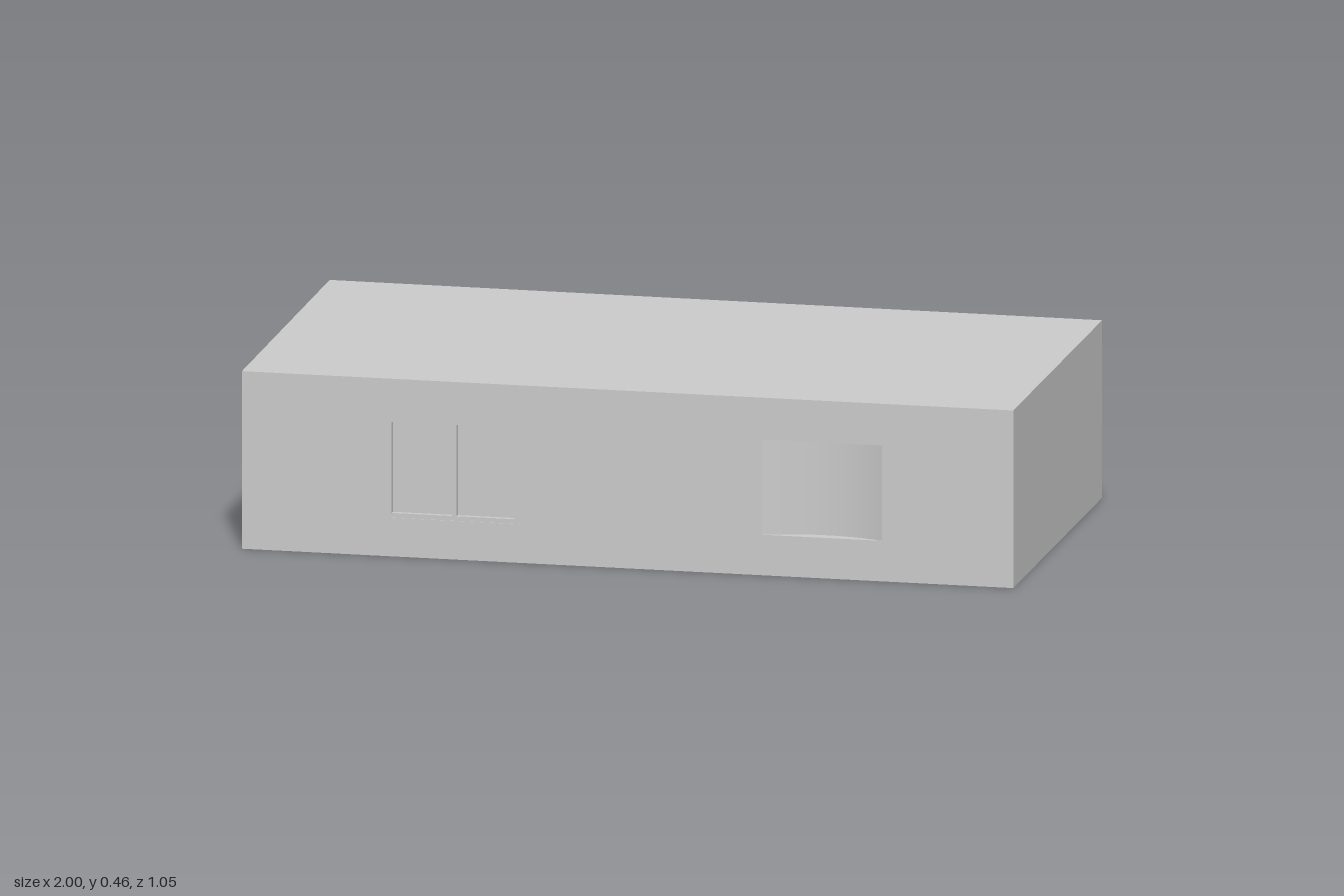
import * as THREE from 'three';

const H = 0.46, T = 0.012;
const mat = new THREE.MeshStandardMaterial({ color: 0xcccccc, side: THREE.DoubleSide });

// slightly skewed floor plan, [x, z]
const backRight = [-1, -0.525], backLeft = [1, -0.51];
const frontLeft = [1, 0.52], frontRight = [-0.995, 0.515];

function add(parent, name, geometry) {
  const mesh = new THREE.Mesh(geometry, mat);
  mesh.name = name;
  parent.add(mesh);
  return mesh;
}

function rect(x0, y0, x1, y1, Type = THREE.Shape) {
  return new Type([[x0, y0], [x1, y0], [x1, y1], [x0, y1]].map(p => new THREE.Vector2(...p)));
}

// panel with rectangular openings; its outer face lies at local z = 0
function panel(outline, openings, depth) {
  const shape = rect(...outline);
  for (const o of openings) shape.holes.push(rect(...o, THREE.Path));
  return new THREE.ExtrudeGeometry(shape, { depth, bevelEnabled: false }).translate(0, 0, -depth);
}

// wall running from a to b, with its outer side on the right of that direction
function wall(parent, name, a, b, openings = []) {
  const dx = b[0] - a[0], dz = b[1] - a[1];
  const mesh = add(parent, name, panel([0, 0, Math.hypot(dx, dz), H], openings, T));
  mesh.position.set(a[0], 0, a[1]);
  mesh.rotation.y = -Math.atan2(dz, dx);
  return mesh;
}

// horizontal slab following the floor plan
function slab(parent, name, y, depth) {
  const shape = new THREE.Shape([frontRight, frontLeft, backLeft, backRight].map(([x, z]) => new THREE.Vector2(x, -z)));
  const g = new THREE.ExtrudeGeometry(shape, { depth, bevelEnabled: false });
  add(parent, name, g.rotateX(-Math.PI / 2).translate(0, y, 0));
}

export function createModel() {
  const building = new THREE.Group();
  building.name = 'building';

  slab(building, 'floor', 0, 0.003);
  slab(building, 'roof', H - 0.003, 0.003);

  // outer walls; openings are measured along each wall
  const win = [0.37, 0.1, 0.72, 0.36], niche = [1.345, 0.105, 1.655, 0.352];
  const front = wall(building, 'frontWall', frontRight, frontLeft, [win, niche]);
  wall(building, 'backWall', backLeft, backRight);
  wall(building, 'leftWall', frontLeft, backLeft);
  wall(building, 'doorWall', backRight, frontRight, [
    [0.205, 0.003, 0.325, 0.27],
    [0.775, 0.003, 0.895, 0.27],
  ]);

  // inner wall between the two rooms
  add(building, 'partition', new THREE.BoxGeometry(1.98, H - 0.006, T)).position.set(0, H / 2, -0.115);

  // two-pane window
  const frame = add(front, 'windowFrame', panel(win, [
    [0.387, 0.112, 0.543, 0.348],
    [0.555, 0.112, 0.703, 0.348],
  ], 0.02));
  frame.position.z = -0.002;
  const glass = add(front, 'windowPanes', new THREE.BoxGeometry(0.345, 0.255, 0.004));
  glass.position.set(0.545, 0.23, -0.017);

  // curved niche sunk into the front wall
  const half = (niche[2] - niche[0]) / 2, sag = 0.03;
  const R = (half * half + sag * sag) / (2 * sag), ang = Math.asin(half / R);
  const height = niche[3] - niche[1], cx = niche[0] + half;
  const back = new THREE.CylinderGeometry(R, R, height, 12, 1, true, Math.PI - ang, 2 * ang);
  add(front, 'nicheBack', back).position.set(cx, niche[1] + height / 2, R - sag);
  const segment = new THREE.Shape().absarc(0, sag - R, R, Math.PI / 2 - ang, Math.PI / 2 + ang, false);
  for (const [name, y] of [['nicheSill', niche[1]], ['nicheHead', niche[3]]]) {
    add(front, name, new THREE.ShapeGeometry(segment).rotateX(-Math.PI / 2)).position.set(cx, y, 0);
  }
  return building;
}
